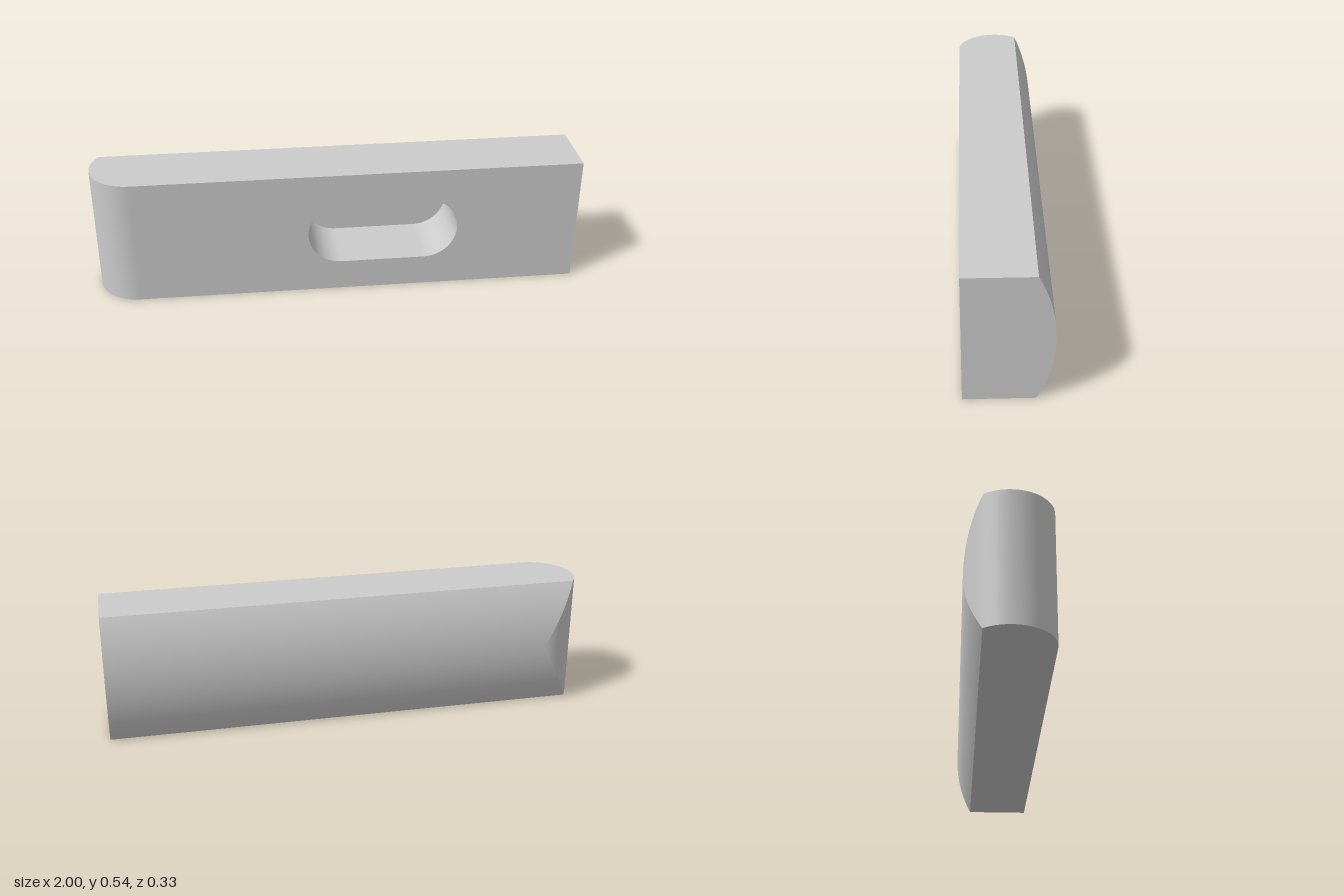
import * as THREE from 'three';

const H = 0.536, MID = H / 2;      // height and its middle
const R = 0.167;                   // rounded end radius, half the depth
const CX = -1 + R;                 // centre of the rounded end
const EDGE = -0.1;                 // z where the bulged back begins
const SAG = R + EDGE;              // bulge of the back
const BR = (MID * MID + SAG * SAG) / (2 * SAG); // bulge radius
const BA = Math.asin(MID / BR);    // bulge half angle
const N = 48;

const material = new THREE.MeshStandardMaterial({ color: 0xcccccc });
const leftX = z => CX - Math.sqrt(Math.max(0, R * R - z * z));
const V = (x, y, z) => new THREE.Vector3(x, y, z);

// Smooth strip between two matching rows of points
function strip(a, b) {
  const index = [];
  for (let i = 0; i < a.length - 1; i++) {
    const n = a.length + i;
    index.push(i, n, n + 1, i, n + 1, i + 1);
  }
  const g = new THREE.BufferGeometry().setFromPoints([...a, ...b]);
  g.setIndex(index);
  g.computeVertexNormals();
  return g;
}

export function createModel() {
  const group = new THREE.Group();
  const add = (name, geometry) => {
    const mesh = new THREE.Mesh(geometry, material);
    mesh.name = name;
    group.add(mesh);
  };
  const flat = points => new THREE.ShapeGeometry(new THREE.Shape(points));

  // Back bulge profile, top to bottom
  const arc = [];
  for (let i = 0; i <= N; i++) {
    const t = BA - (2 * BA * i) / N;
    arc.push({ y: MID + BR * Math.sin(t), z: -R + BR * (1 - Math.cos(t)) });
  }

  // Rounded end outline in plan, front to back edge
  const capZ = [];
  const endAngle = Math.acos(EDGE / R);
  for (let i = 0; i <= N; i++) capZ.push(R * Math.cos((endAngle * i) / N));

  // Slot outline, clockwise from the middle of its upper side
  const slot = [], sx = [0.01, 0.355], sr = 0.137;
  const mx = (sx[0] + sx[1]) / 2;
  slot.push(new THREE.Vector2(mx, MID + sr));
  for (const [cx, start] of [[sx[1], Math.PI / 2], [sx[0], -Math.PI / 2]]) {
    for (let i = 0; i <= 32; i++) {
      const t = start - (Math.PI * i) / 32;
      slot.push(new THREE.Vector2(cx + sr * Math.cos(t), MID + sr * Math.sin(t)));
    }
  }

  // Front face with slot opening
  const front = new THREE.Shape([[CX, 0], [1, 0], [1, H], [CX, H]].map(p => new THREE.Vector2(...p)));
  front.holes.push(new THREE.Path(slot));
  add('frontFace', new THREE.ShapeGeometry(front).translate(0, 0, R));

  // Blind slot
  const ring = [...slot, slot[0]];
  add('slotWall', strip(ring.map(p => V(p.x, p.y, R)), ring.map(p => V(p.x, p.y, EDGE))));
  add('slotFloor', flat(slot).translate(0, 0, EDGE));

  // Top and bottom faces
  const plan = s => [...capZ.map(z => new THREE.Vector2(leftX(z), s * z)),
    new THREE.Vector2(1, s * EDGE), new THREE.Vector2(1, s * R)];
  add('topFace', flat(plan(-1)).rotateX(-Math.PI / 2).translate(0, H, 0));
  add('bottomFace', flat(plan(1)).rotateX(Math.PI / 2));

  // Square end, with the bulged back in its outline
  const end = [new THREE.Vector2(-R, 0), new THREE.Vector2(-R, H),
    ...arc.map(p => new THREE.Vector2(-p.z, p.y))];
  add('squareEnd', flat(end).rotateY(Math.PI / 2).translate(1, 0, 0));

  // Bulged back, trimmed by the rounded end
  add('bulgedBack', strip(arc.map(p => V(leftX(p.z), p.y, p.z)), arc.map(p => V(1, p.y, p.z))));

  // Rounded end, narrowing to a point where it meets the bulge
  const columns = [...capZ.map(z => ({ z, h: MID })),
    ...arc.slice(1, N / 2 + 1).map(p => ({ z: p.z, h: p.y - MID }))];
  add('roundedEnd', strip(columns.map(c => V(leftX(c.z), MID - c.h, c.z)),
    columns.map(c => V(leftX(c.z), MID + c.h, c.z))));

  return group;
}
